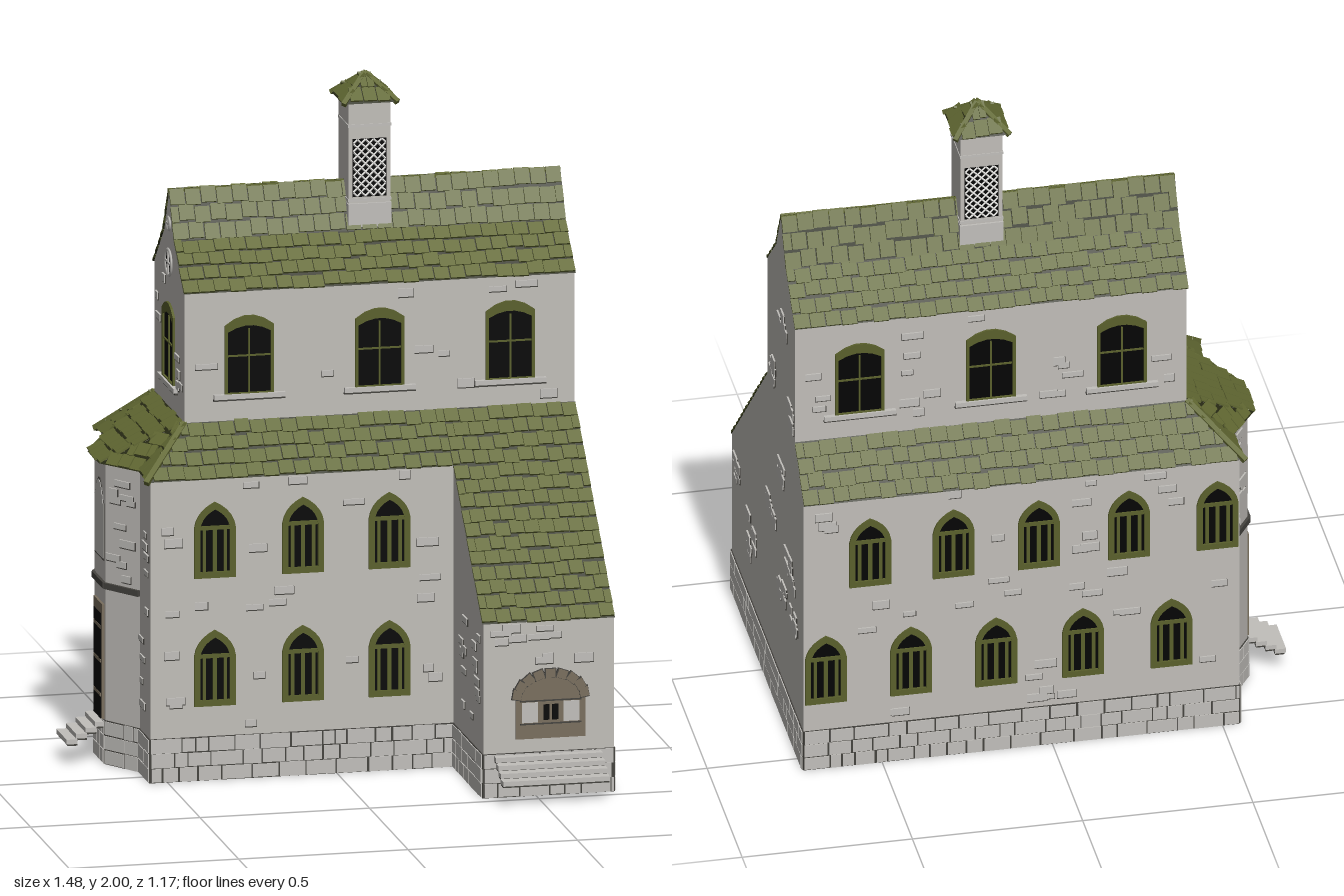
import * as THREE from 'three';
import { mergeGeometries } from 'three/addons/utils/BufferGeometryUtils.js';

const mat = (name, color, side = THREE.FrontSide) => {
  const m = new THREE.MeshStandardMaterial({ color, side });
  m.name = name;
  return m;
};
const V = (x, y, z) => new THREE.Vector3(x, y, z);

export function createModel() {
  const model = new THREE.Group();
  model.name = 'stoneHouse';
  const M = {
    wall: mat('wallGrey', 0xc1beb9, THREE.DoubleSide),
    stone: mat('stoneGrey', 0xc1bfbb),
    mortar: mat('mortarDark', 0x45433f),
    tile: mat('mossGreen', 0x616832),
    seam: mat('roofSeam', 0x272a14, THREE.DoubleSide),
    frame: mat('frameOlive', 0x5a602c),
    glass: mat('glassBlack', 0x050505, THREE.DoubleSide),
    door: mat('doorBrown', 0x7a6f5e),
    lattice: mat('latticeLight', 0xe2e1de),
  };
  let seed = 7;
  const rnd = () => (seed = (seed * 16807) % 2147483647) / 2147483647;

  const add = (parent, name, geo, material) => {
    const m = new THREE.Mesh(geo, material);
    m.name = name;
    parent.add(m);
    return m;
  };
  const box = (w, h, d, x = 0, y = 0, z = 0) => new THREE.BoxGeometry(w, h, d).translate(x, y, z);
  const addAll = (parent, name, list, material) => list.length && add(parent, name, mergeGeometries(list), material);

  // Arch outline: pointed or segmental top; reused for frames, panes and wall openings
  const arch = (T, w, y0, spring, top, pointed, cx = 0) => {
    const s = new T(), a = w / 2;
    s.moveTo(cx - a, y0).lineTo(cx + a, y0).lineTo(cx + a, spring);
    if (pointed) {
      const c = spring + (top - spring) * 0.65;
      s.quadraticCurveTo(cx + a * 0.9, c, cx, top).quadraticCurveTo(cx - a * 0.9, c, cx - a, spring);
    } else s.quadraticCurveTo(cx, 2 * top - spring, cx - a, spring);
    s.closePath();
    return s;
  };
  const extrude = (shape, depth) =>
    new THREE.ExtrudeGeometry(shape, { depth, bevelEnabled: false, curveSegments: 5 }).translate(0, 0, -depth / 2);

  const kinds = {
    arched: { w: 0.122, h: 0.225, spring: 0.15, pointed: true, inner: [0.088, 0.018, 0.146, 0.203],
      bars: [[0.012, 0.13, 0, 0.08], [0.1, 0.012, 0, 0.148], [0.01, 0.13, -0.031, 0.08], [0.01, 0.13, 0.031, 0.08]] },
    tall: { w: 0.145, h: 0.235, spring: 0.205, pointed: false, inner: [0.127, 0.006, 0.186, 0.205],
      bars: [[0.005, 0.19, 0, 0.1], [0.125, 0.005, 0, 0.115]] },
  };
  for (const k of Object.values(kinds)) {
    const outer = arch(THREE.Shape, k.w, 0, k.spring, k.h, k.pointed);
    k.pane = new THREE.ShapeGeometry(outer, 5);
    const ring = arch(THREE.Shape, k.w, 0, k.spring, k.h, k.pointed);
    ring.holes.push(arch(THREE.Path, ...k.inner, k.pointed));
    k.ring = extrude(ring, 0.014);
    k.grid = mergeGeometries(k.bars.map(([w, h, x, y]) => box(w, h, 0.008, x, y)));
  }
  const addWindow = (parent, kind, x, y) => {
    const k = kinds[kind], g = new THREE.Group();
    g.name = kind + 'Window';
    g.position.set(x, y, 0);
    add(g, 'windowPane', k.pane, M.glass);
    add(g, 'windowFrame', k.ring, M.frame);
    add(g, 'windowBars', k.grid, M.frame);
    if (kind === 'tall') {
      add(g, 'windowSill', box(0.21, 0.014, 0.014, 0, -0.004, 0.006), M.stone);
      add(g, 'sillShadow', box(0.212, 0.005, 0.01, 0, -0.014, 0.004), M.mortar);
    }
    parent.add(g);
  };

  // Wall from A to B (left to right seen from outside), with openings, a stone plinth and scattered stones
  function wall(name, [ax, az], [bx, bz], profile, { windows = [], plinth = true, stones = [] } = {}) {
    const g = new THREE.Group(), len = Math.hypot(bx - ax, bz - az);
    g.name = name;
    g.position.set(ax, 0, az);
    g.rotation.y = Math.atan2(az - bz, bx - ax);
    const pts = Array.isArray(profile[0]) ? profile
      : [[0, profile[0]], [len, profile[0]], [len, profile[1]], [0, profile[1]]];
    const shape = new THREE.Shape(pts.map(p => new THREE.Vector2(...p)));
    for (const [kind, x, y] of windows) {
      const k = kinds[kind];
      shape.holes.push(arch(THREE.Path, k.w * 0.9, y + 0.006, y + k.spring, y + k.h - 0.012, k.pointed, x));
      addWindow(g, kind, x, y);
    }
    add(g, name + 'Face', new THREE.ShapeGeometry(shape, 5), M.wall);
    const light = [], dark = [];
    if (plinth) {
      dark.push(box(len, 0.13, 0.004, len / 2, 0.065, 0.001));
      for (let r = 0; r < 3; r++) for (let x = 0; x < len - 0.005;) {
        const w = Math.min(0.035 + rnd() * 0.065, len - x);
        const gap = Math.min(0.002 + rnd() * 0.005, w / 3), h = 0.0375 + rnd() * 0.005;
        light.push(box(w - gap, h, 0.008, x + w / 2, 0.022 + r * 0.043, 0.002));
        x += w;
      }
    }
    for (const [x0, x1, y0, y1, n] of stones) for (let i = 0; i < n; i++) {
      const w = 0.03 + rnd() * 0.035, h = 0.014 + rnd() * 0.012;
      const x = x0 + w / 2 + rnd() * Math.max(0, x1 - x0 - w), y = y0 + rnd() * (y1 - y0);
      if (windows.some(([k, wx, wy]) => Math.abs(x - wx) < 0.105 && y > wy - 0.04 && y < wy + 0.26)) continue;
      dark.push(box(w + 0.002, h + 0.003, 0.004, x + 0.001, y - 0.002, 0.001));
      light.push(box(w, h, 0.006, x, y, 0.002));
    }
    addAll(g, name + 'Stones', light, M.stone);
    addAll(g, name + 'Joints', dark, M.mortar);
    model.add(g);
    return g;
  }

  // Main block
  const rows = (xs, y) => xs.map(x => ['arched', x, y]);
  wall('frontWall', [-0.55, 0.075], [0.345, 0.075], [0, 0.905], {
    windows: [0.22, 0.6].flatMap(y => rows([0.19, 0.45, 0.705], y)), stones: [[0.02, 0.88, 0.16, 0.88, 75]] });
  wall('backWall', [0.73, -0.565], [-0.55, -0.565], [0, 0.905], {
    windows: [...rows([0.065, 0.315, 0.565, 0.82, 1.08], 0.22), ...rows([0.195, 0.44, 0.69, 0.955, 1.215], 0.6)],
    stones: [[0.02, 1.26, 0.16, 0.88, 110]] });
  wall('rightGable', [0.73, 0.46], [0.73, -0.565], [[0, 0], [1.025, 0], [1.025, 0.905], [0.9, 1.03], [0.9, 1.42],
    [0.775, 1.54], [0.705, 1.68], [0.635, 1.54], [0.51, 1.42], [0.51, 1.03], [0, 0.52]], {
    stones: [[0.65, 0.8, 1.3, 1.36, 8], [0.52, 0.64, 1.05, 1.13, 9], [0.8, 0.9, 1.05, 1.12, 8], [0.65, 0.8, 0.79, 0.85, 8],
      [0.5, 0.65, 0.56, 0.64, 9], [0.75, 0.92, 0.52, 0.62, 10], [0.65, 0.8, 0.4, 0.46, 9], [0.03, 0.14, 0.38, 0.5, 9],
      [0.2, 0.38, 0.25, 0.42, 11], [0.83, 0.95, 0.38, 0.48, 8]] });

  // Entrance wing
  wall('wingSide', [0.345, 0.075], [0.345, 0.46], [[0, 0], [0.385, 0], [0.385, 0.52], [0, 0.9]],
    { stones: [[0.02, 0.36, 0.16, 0.5, 14]] });
  const wing = wall('wingFront', [0.345, 0.46], [0.73, 0.46], [0, 0.52], { stones: [[0.01, 0.37, 0.4, 0.5, 10]] });
  const entrance = new THREE.Group();
  entrance.name = 'entrance';
  entrance.position.set(0.197, 0.17, 0.002);
  wing.add(entrance);
  add(entrance, 'doorArch', extrude(arch(THREE.Shape, 0.205, 0, 0.13, 0.195, false), 0.008), M.door);
  add(entrance, 'doorPanel', box(0.17, 0.06, 0.006, 0, 0.078, 0.003), M.stone);
  add(entrance, 'doorSurround', box(0.075, 0.062, 0.006, 0, 0.078, 0.0035), M.door);
  add(entrance, 'doorLeaves', mergeGeometries([-1, 1].map(s => box(0.018, 0.046, 0.006, s * 0.013, 0.078, 0.005))), M.glass);
  addAll(entrance, 'doorLines', [0.044, 0.112].map(y => box(0.18, 0.004, 0.006, 0, y, 0.004)), M.mortar);
  const fan = (w, h, depth) => Array.from({ length: 9 }, (_, i) => {
    const a = Math.PI * (i + 0.5) / 9;
    return box(w, h, depth).rotateZ(a).translate(Math.cos(a) * 0.1, 0.12 + Math.sin(a) * 0.072, 0.002);
  });
  addAll(entrance, 'archStones', fan(0.026, 0.028, 0.012), M.door);
  addAll(entrance, 'archJoints', fan(0.028, 0.034, 0.009), M.mortar);

  // Bay and the narrow walls beside it
  wall('bayBackReturn', [-0.55, -0.565], [-0.55, -0.43], [0, 0.905], { stones: [[0, 0.13, 0.16, 0.86, 9]] });
  wall('bayBackSide', [-0.55, -0.43], [-0.625, -0.315], [0, 0.905], { stones: [[0, 0.13, 0.56, 0.86, 10]] });
  const bay = wall('bayFace', [-0.625, -0.315], [-0.625, -0.175], [0, 0.905]);
  wall('bayFrontSide', [-0.625, -0.175], [-0.55, -0.06], [0, 0.905], { stones: [[0, 0.13, 0.56, 0.86, 10]] });
  wall('bayFrontReturn', [-0.55, -0.06], [-0.55, 0.075], [0, 0.905], { stones: [[0, 0.13, 0.16, 0.86, 9]] });
  add(bay, 'blindArchOutline', extrude(arch(THREE.Shape, 0.118, 0.6, 0.77, 0.835, false), 0.006).translate(0.07, 0, 0), M.mortar);
  add(bay, 'blindArch', extrude(arch(THREE.Shape, 0.108, 0.605, 0.768, 0.829, false), 0.009).translate(0.07, 0, 0), M.stone);
  add(bay, 'bayDoorFrame', box(0.115, 0.34, 0.008, 0.07, 0.3, 0.003), M.door);
  add(bay, 'bayDoor', box(0.09, 0.31, 0.008, 0.07, 0.285, 0.005), M.glass);
  addAll(bay, 'bayDoorBars', [0.2, 0.3, 0.4].map(y => box(0.09, 0.01, 0.008, 0.07, y, 0.006)), M.door);

  // Straight bar between two points
  const bar = (p, q, t) => {
    const d = q.clone().sub(p);
    return new THREE.BoxGeometry(t, t, d.length()).applyQuaternion(
      new THREE.Quaternion().setFromUnitVectors(V(0, 0, 1), d.normalize())).translate(...p.clone().add(q).multiplyScalar(0.5).toArray());
  };
  const bayPath = [[-0.55, -0.43], [-0.625, -0.315], [-0.625, -0.175], [-0.55, -0.06]];
  addAll(model, 'bayBand', bayPath.slice(1).map((p, i) => bar(V(bayPath[i][0], 0.53, bayPath[i][1]), V(p[0], 0.53, p[1]), 0.018)), M.mortar);

  // Upper storey
  const tall = xs => xs.map(x => ['tall', x, 1.107]);
  const up = { plinth: false, stones: [[0.01, 1.13, 1.05, 1.4, 32]] };
  wall('upperFront', [-0.42, -0.05], [0.73, -0.05], [1, 1.42], { ...up, windows: tall([0.19, 0.575, 0.96]) });
  wall('upperBack', [0.73, -0.44], [-0.42, -0.44], [1, 1.42], { ...up, windows: tall([0.19, 0.575, 0.96]) });
  const gable = wall('leftGable', [-0.42, -0.44], [-0.42, -0.05], [[0, 1], [0.39, 1], [0.39, 1.42], [0.265, 1.54],
    [0.195, 1.68], [0.125, 1.54], [0, 1.42]], { plinth: false, windows: tall([0.195]), stones: [[0.02, 0.37, 1.06, 1.4, 16]] });
  for (const [y, r] of [[1.46, 0.038], [1.575, 0.018]]) {
    add(gable, 'roundPane', new THREE.CircleGeometry(r, 16).translate(0.195, y, 0.003), M.glass);
    add(gable, 'roundFrame', new THREE.TorusGeometry(r, 0.005, 4, 16).translate(0.195, y, 0.003), M.stone);
    addAll(gable, 'roundBars', [box(r * 2, 0.006, 0.006, 0.195, y, 0.004), box(0.006, r * 2, 0.006, 0.195, y, 0.004)], M.stone);
  }

  // Shingled slope: corners bottom-left, bottom-right, top-right, top-left seen from outside
  const tiles = [], sheets = [];
  function slope(A, B, C, D) {
    const n = B.clone().sub(A).cross(D.clone().add(C).multiplyScalar(0.5).sub(A)).normalize();
    const sheet = new THREE.BufferGeometry().setFromPoints([A, B, C, A, C, D].map(p => p.clone().addScaledVector(n, 0.001)));
    sheet.computeVertexNormals();
    sheets.push(sheet);
    const u = B.clone().sub(A).normalize(), v = n.clone().cross(u);
    const size = Math.abs(D.clone().sub(A).dot(v)), count = Math.max(2, Math.round(size / 0.05)), h = size / count;
    for (let i = 0; i < count; i++) {
      const t = (i + 0.5) / count, l = A.clone().lerp(D, t), r = B.clone().lerp(C, t), len = l.distanceTo(r);
      const cols = Math.max(1, Math.round(len / 0.046)), shift = (i % 2) * 0.5;
      for (let j = 0; j < cols + 2 * shift; j++) {
        const s0 = Math.max(0, j - shift) / cols, s1 = Math.min(cols, j + 1 - shift) / cols, w = (s1 - s0) * len;
        const p = l.clone().lerp(r, (s0 + s1) / 2).addScaledVector(n, 0.004).addScaledVector(v, (rnd() - 0.5) * 0.01);
        tiles.push(box(w * (0.9 + rnd() * 0.08), h * 0.92, 0.006).rotateX(-0.08)
          .applyMatrix4(new THREE.Matrix4().makeBasis(u, v, n).setPosition(p)));
      }
    }
  }
  const ZC = -0.245, front = (x, y, d) => V(x, y, ZC + d), back = (x, y, d) => V(x, y, ZC - d);
  // Upper roof, steeper towards the ridge
  const prof = [[0.202, 1.413], [0.07, 1.54], [0, 1.678]];
  for (let i = 0; i < 2; i++) {
    const [d0, y0] = prof[i], [d1, y1] = prof[i + 1];
    slope(front(-0.425, y0, d0), front(0.732, y0, d0), front(0.732, y1, d1), front(-0.425, y1, d1));
    slope(back(0.732, y0, d0), back(-0.425, y0, d0), back(-0.425, y1, d1), back(0.732, y1, d1));
  }
  // Lower roof, wing and bay hips
  const E = 0.893, T = 1.03;
  slope(front(-0.56, E, 0.33), front(0.34, E, 0.33), front(0.34, T, 0.195), front(-0.42, T, 0.195));
  slope(front(0.34, 0.516, 0.71), front(0.732, 0.516, 0.71), front(0.732, T, 0.195), front(0.34, T, 0.195));
  slope(back(0.732, E, 0.33), back(-0.56, E, 0.33), back(-0.42, T, 0.195), back(0.732, T, 0.195));
  const f = front(-0.42, T, 0.195), b = back(-0.42, T, 0.195);
  slope(back(-0.645, E, 0.072), front(-0.645, E, 0.072), f, b);
  slope(front(-0.645, E, 0.072), front(-0.555, E, 0.195), f, f);
  slope(front(-0.555, E, 0.195), front(-0.56, E, 0.33), f, f);
  slope(back(-0.555, E, 0.195), back(-0.645, E, 0.072), b, b);
  slope(back(-0.56, E, 0.33), back(-0.555, E, 0.195), b, b);
  const ridges = [bar(V(-0.425, 1.672, ZC), V(0.732, 1.672, ZC), 0.012),
    bar(f, front(-0.565, E, 0.335), 0.016), bar(b, back(-0.565, E, 0.335), 0.016)];

  // Chimney tower with latticed openings and a shingled cap
  const CX = 0.155, tower = new THREE.Group();
  tower.name = 'chimneyTower';
  tower.position.set(CX, 0, ZC);
  model.add(tower);
  add(tower, 'towerShaft', box(0.124, 0.43, 0.128, 0, 1.71, 0), M.wall);
  addAll(tower, 'towerBands', [box(0.128, 0.008, 0.132, 0, 1.85, 0), box(0.128, 0.008, 0.132, 0, 1.63, 0)], M.stone);
  add(tower, 'towerBase', box(0.128, 0.07, 0.14, 0, 1.585, 0), M.stone);
  for (const s of [0, 1]) {
    const g = new THREE.Group(), bars = [], W = 0.047, H = 0.084;
    g.name = 'latticeOpening';
    g.rotation.y = s * Math.PI;
    add(g, 'latticeBack', box(0.1, 0.172, 0.006, 0, 1.725, 0.062), M.glass);
    for (const k of [-1, 1]) for (let c = -0.12; c < 0.121; c += 0.024) {
      const lo = Math.max(-W, Math.min((-H - c) / k, (H - c) / k)), hi = Math.min(W, Math.max((-H - c) / k, (H - c) / k));
      if (hi - lo > 0.004) bars.push(bar(V(lo, 1.725 + k * lo + c, 0.0645), V(hi, 1.725 + k * hi + c, 0.0645), 0.005));
    }
    addAll(g, 'latticeBars', bars, M.lattice);
    tower.add(g);
  }
  const R = 0.08, corners = [[-R, R], [R, R], [R, -R], [-R, -R]].map(([x, z]) => V(CX + x, 1.918, ZC + z));
  const peak = V(CX, 1.99, ZC);
  corners.forEach((c, i) => {
    slope(c, corners[(i + 1) % 4], peak, peak);
    ridges.push(bar(c, peak, 0.014));
  });
  addAll(model, 'roofTiles', tiles, M.tile);
  addAll(model, 'roofSheets', sheets, M.seam);
  addAll(model, 'roofRidges', ridges, M.tile);

  // Entrance and bay steps
  const steps = (name, w, depth, x, z, rot) => {
    const g = new THREE.Group();
    g.name = name;
    g.position.set(x, 0, z);
    g.rotation.y = rot;
    for (let i = 0; i < 4; i++) {
      add(g, 'tread', box(w, 0.014, depth / 4 + 0.004, 0, 0.118 - i * 0.016, depth * (i + 0.5) / 4), M.stone);
      add(g, 'riserLine', box(w * 0.99, 0.006, depth / 4, 0, 0.109 - i * 0.016, depth * (i + 0.5) / 4 - 0.002), M.mortar);
    }
    model.add(g);
  };
  steps('entranceSteps', 0.315, 0.123, 0.533, 0.46, 0);
  steps('baySteps', 0.135, 0.112, -0.625, ZC, -Math.PI / 2);
  return model;
}
